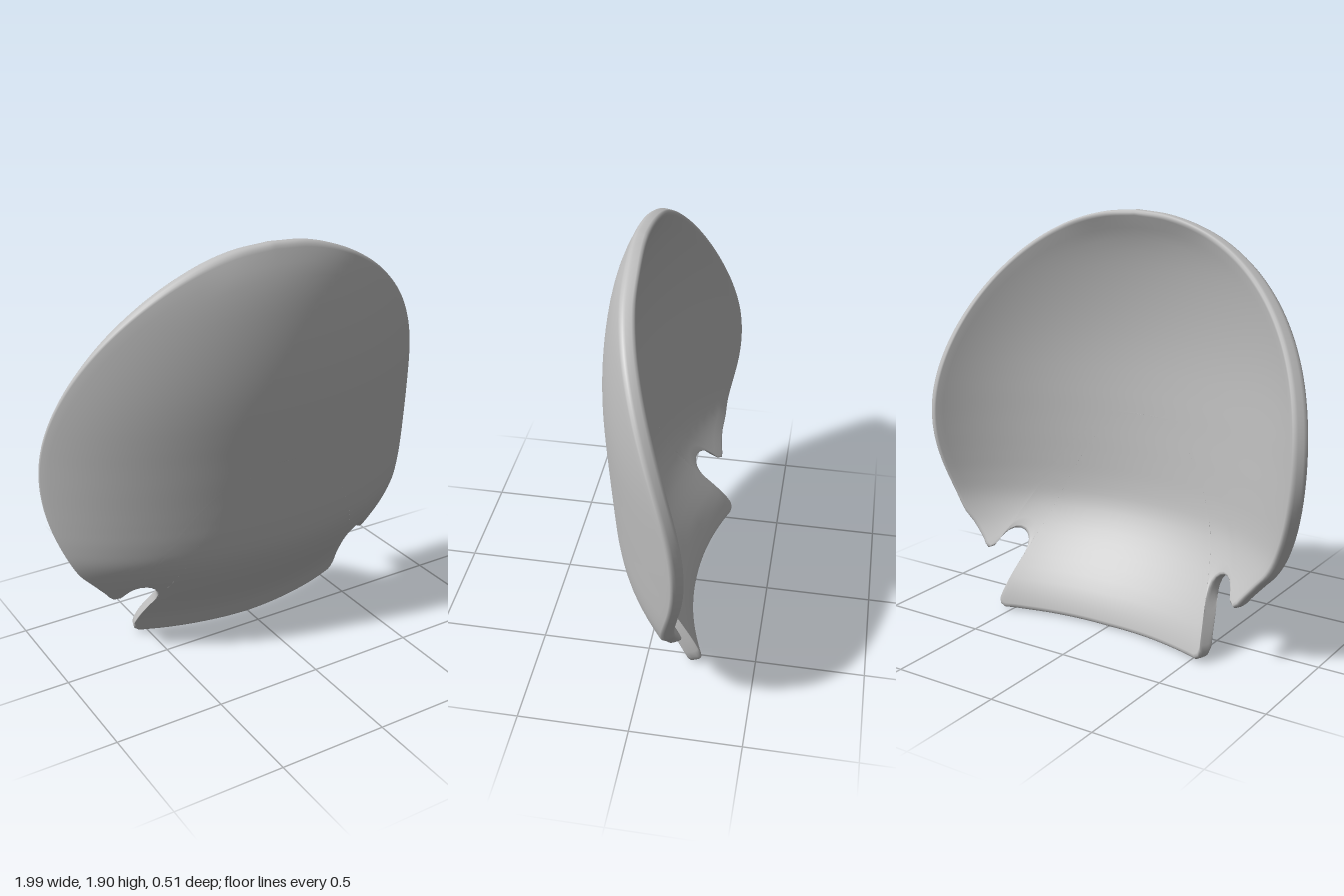
import * as THREE from 'three';

// Front depth along the centre line, sampled every 0.1 in height
const profile = new THREE.SplineCurve(
  [-0.085, -0.05, 0.012, 0.082, 0.147, 0.194, 0.214, 0.224, 0.232, 0.24,
    0.247, 0.254, 0.259, 0.26, 0.256, 0.247, 0.233, 0.213, 0.183, 0.14]
    .map((z, i) => new THREE.Vector2(i * 0.1, z)));

const THICKNESS = 0.068;

// Point on the curved shell; depth 0 is the front face, 1 the back face
function shellPoint(x, y, depth) {
  const t = THREE.MathUtils.clamp(y / 1.9, 0, 1);
  const z = profile.getPoint(t).y - 0.36 * x * x - 0.07 * x ** 6;
  const slope = 0.72 * x + 0.42 * x ** 5;
  const d = (depth * THICKNESS) / Math.hypot(1, slope);
  return [x - slope * d, y, z - d];
}

// Closed outline, clockwise from the top: round body, side notches, lower flap
function makeOutline() {
  const half = [];
  for (let a = 90; a >= -30; a -= 10) {
    const r = THREE.MathUtils.degToRad(a);
    half.push([Math.cos(r), 0.93 + 0.975 * Math.sin(r)]);
  }
  half.push([0.8, 0.37], [0.745, 0.31], [0.705, 0.265], [0.68, 0.275], [0.665, 0.31],
    [0.635, 0.345], [0.6, 0.355], [0.56, 0.342], [0.532, 0.305], [0.53, 0.25], [0.55, 0.18],
    [0.572, 0.09], [0.578, 0.045], [0.56, 0.018], [0.5, 0.013], [0.25, 0.007], [0, 0.002]);
  const curve = new THREE.CatmullRomCurve3(half.map(([x, y]) => new THREE.Vector3(x, y, 0)));
  curve.arcLengthDivisions = 1000;
  const right = curve.getSpacedPoints(130);
  const left = right.slice(1, -1).reverse().map((p) => new THREE.Vector3(-p.x, p.y, 0));
  return [...right, ...left];
}

function shellGeometry() {
  const outline = makeOutline();
  const n = outline.length;

  // Rings: front centre to rim, round the rim, rim to back centre
  const rings = [];
  const steps = 36;
  for (let k = 0; k <= steps; k++) rings.push([0.975 * (k / steps) ** 2.2, 0]);
  const rim = [[0.988, 0.04], [0.997, 0.16], [1, 0.32], [1, 0.68], [0.997, 0.84], [0.988, 0.96]];
  const back = rings.map(([s]) => [s, 1]).reverse();
  rings.push(...rim, ...back);

  const positions = [];
  const indices = [];
  rings.forEach(([s, depth], j) => {
    outline.forEach((p, i) => {
      positions.push(...shellPoint(p.x * s ** 0.4, 0.95 + (p.y - 0.95) * s, depth));
      if (j === rings.length - 1) return;
      const a = j * n + i;
      const b = j * n + ((i + 1) % n);
      indices.push(a, b + n, a + n, a, b, b + n);
    });
  });
  const geometry = new THREE.BufferGeometry();
  geometry.setAttribute('position', new THREE.Float32BufferAttribute(positions, 3));
  geometry.setIndex(indices);
  geometry.computeVertexNormals();
  return geometry;
}

export function createModel() {
  const group = new THREE.Group();
  group.name = 'curvedBackrest';
  const greyPlastic = new THREE.MeshStandardMaterial({ color: 0xbfbfbf });
  greyPlastic.name = 'greyPlastic';
  const shell = new THREE.Mesh(shellGeometry(), greyPlastic);
  shell.name = 'backrestShell';
  group.add(shell);
  return group;
}
